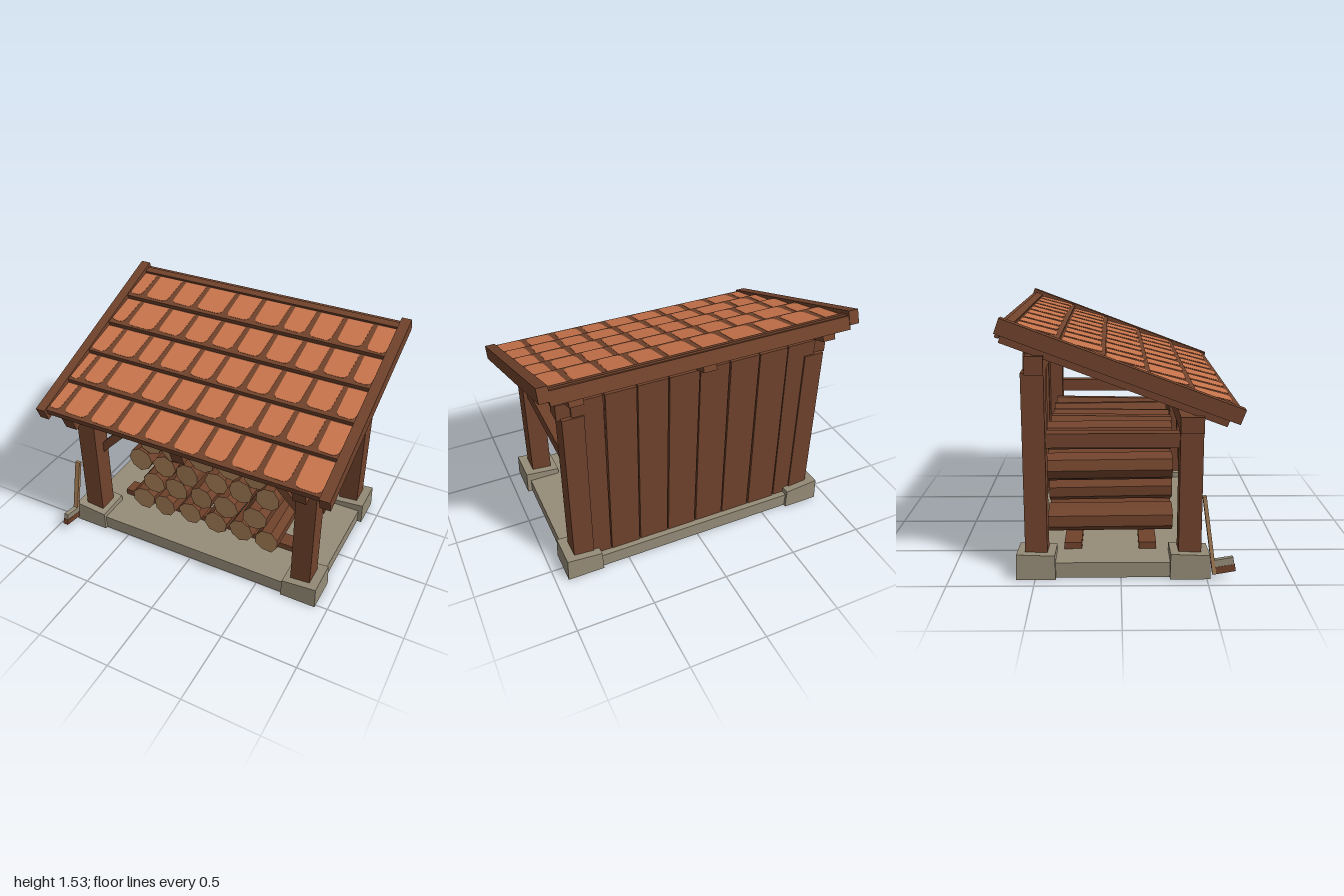
import * as THREE from 'three';

const material = (name, color) => {
  const m = new THREE.MeshStandardMaterial({ color });
  m.name = name;
  return m;
};

export function createModel() {
  const wood = material('brown wood', 0x71432c);
  const tileMat = material('terracotta tile', 0xc8744b);
  const stone = material('grey stone', 0x968c78);
  const cutWood = material('pale cut wood', 0xa57d56);

  let seed = 7;
  const rand = () => (seed = (seed * 16807) % 2147483647) / 2147483647;
  const vary = (a) => (rand() - 0.5) * 2 * a;

  const model = new THREE.Group();
  model.name = 'woodShed';

  const add = (parent, name, geo, mat) => {
    const mesh = new THREE.Mesh(geo, mat);
    mesh.name = name;
    parent.add(mesh);
    return mesh;
  };
  // Box given by its limits on each axis
  const box = (parent, name, mat, x0, x1, y0, y1, z0, z1) => {
    const mesh = add(parent, name, new THREE.BoxGeometry(x1 - x0, y1 - y0, z1 - z0), mat);
    mesh.position.set((x0 + x1) / 2, (y0 + y1) / 2, (z0 + z1) / 2);
    return mesh;
  };
  // Square bar between two points
  const bar = (parent, name, mat, a, b, w, d) => {
    const p = new THREE.Vector3(...a), q = new THREE.Vector3(...b);
    const dir = q.clone().sub(p);
    const mesh = add(parent, name, new THREE.BoxGeometry(w, dir.length(), d), mat);
    mesh.position.copy(p).add(q).multiplyScalar(0.5);
    mesh.quaternion.setFromUnitVectors(new THREE.Vector3(0, 1, 0), dir.normalize());
    return mesh;
  };

  // Base slab and rough corner stones
  box(model, 'baseSlab', stone, -0.89, 0.89, 0, 0.093, -0.59, 0.5);
  const cornerStone = (sx, z0, z1) => {
    const g = new THREE.BoxGeometry(0.24, 0.14, z1 - z0).toNonIndexed();
    const p = g.attributes.position;
    for (let i = 0; i < p.count; i++) {
      if (p.getY(i) < 0) continue;
      const outer = Math.sign(p.getX(i)) === sx;
      p.setY(i, p.getY(i) + (outer ? 0.01 : -0.012) + (p.getZ(i) > 0 ? -0.004 : 0.004));
      p.setX(i, p.getX(i) * 0.96);
      p.setZ(i, p.getZ(i) * 0.97);
    }
    g.computeVertexNormals();
    add(model, 'cornerStone', g, stone).position.set(sx * 0.8, 0.07, (z0 + z1) / 2);
  };

  // Posts, side rails and braces on both sides
  for (const s of [-1, 1]) {
    cornerStone(s, 0.285, 0.52);
    cornerStone(s, -0.61, -0.38);
    const x0 = s * 0.79 - 0.066, x1 = s * 0.79 + 0.066;
    box(model, 'frontPost', wood, x0, x1, 0.1, 0.87, 0.337, 0.47);
    box(model, 'backPost', wood, x0, x1, 0.1, 1.21, -0.56, -0.43);
    box(model, 'sideRail', wood, s * 0.79 - 0.04, s * 0.79 + 0.04, 0.77, 0.855, -0.45, 0.35);
    bar(model, 'brace', wood, [s * 0.75, 0.597, 0.365], [s * 0.475, 0.88, 0.365], 0.055, 0.05);
  }
  box(model, 'frontBeam', wood, -0.88, 0.88, 0.865, 0.96, 0.335, 0.47);
  box(model, 'backBeam', wood, -0.88, 0.88, 1.2, 1.305, -0.535, -0.43);

  // Back wall planks, nailed over the back beam with narrow uneven gaps
  for (let i = 0; i < 8; i++) {
    const x = -0.7 + i * 0.2;
    const plank = box(model, 'wallPlank', wood, x - 0.0955, x + 0.0955, 0.09, 1.31, -0.552, -0.522);
    plank.rotation.z = vary(0.005);
    plank.position.z += vary(0.003);
  }

  // Runners under the stack
  box(model, 'runner', wood, -0.69, 0.68, 0.093, 0.135, 0.11, 0.215);
  box(model, 'runner', wood, -0.69, 0.68, 0.093, 0.135, -0.34, -0.235);

  // Stacked logs, staggered row by row
  const logGeometry = (length) => {
    const sides = 8;
    const radii = Array.from({ length: sides }, () => 0.087 + vary(0.007));
    const g = new THREE.CylinderGeometry(1, 1, length, sides).toNonIndexed();
    const p = g.attributes.position;
    for (let i = 0; i < p.count; i++) {
      const x = p.getX(i), z = p.getZ(i);
      if (Math.hypot(x, z) < 0.5) continue;
      const k = (Math.round((Math.atan2(z, x) / (2 * Math.PI)) * sides) + sides) % sides;
      p.setX(i, x * radii[k]);
      p.setZ(i, z * radii[k]);
    }
    g.rotateX(Math.PI / 2);
    g.computeVertexNormals();
    return g;
  };
  const offset = [-0.39, -0.2, 0, 0.195, 0.395];
  const wide = [-0.48, -0.29, -0.095, 0.1, 0.295, 0.48];
  [[0.22, wide], [0.39, offset], [0.555, wide], [0.725, offset]].forEach(([y, xs]) => {
    for (const x of xs) {
      const log = add(model, 'log', logGeometry(0.77), [wood, cutWood, cutWood]);
      log.position.set(x + vary(0.006), y + vary(0.004), -0.065 + vary(0.01));
      log.rotation.set(vary(0.012), vary(0.035), vary(0.5));
    }
  });

  // Sloped roof frame: local -z runs uphill, y = 0 is the top of the barge boards
  const roof = new THREE.Group();
  roof.name = 'roofFrame';
  roof.position.set(0, 1.03, 0.68);
  roof.rotation.x = Math.atan2(0.5, 1.325);
  model.add(roof);
  for (const s of [-1, 1]) {
    box(roof, 'bargeBoard', wood, s * 0.967 - 0.033, s * 0.967 + 0.033, -0.088, 0, -1.416, 0);
  }
  for (const x of [-0.797, 0, 0.797]) {
    box(roof, 'rafter', wood, x - 0.042, x + 0.042, -0.155, -0.06, -1.392, -0.025);
  }
  box(roof, 'ridgeBoard', wood, -0.94, 0.94, -0.085, -0.02, -1.39, -1.345);
  box(roof, 'backFascia', wood, -0.94, 0.94, -0.115, -0.03, -1.412, -1.388);

  // Overlapping tile courses, listed by the gaps between tiles, bottom row first
  const gaps = [
    [-0.835, -0.63, -0.43, -0.24, -0.03, 0.17, 0.35, 0.55, 0.75],
    [-0.85, -0.68, -0.415, -0.22, -0.025, 0.18, 0.395, 0.58, 0.78],
    [-0.795, -0.585, -0.42, -0.195, -0.01, 0.2, 0.385, 0.595, 0.79],
    [-0.81, -0.577, -0.375, -0.175, 0.01, 0.21, 0.415, 0.6, 0.795],
    [-0.82, -0.612, -0.418, -0.19, 0.012, 0.22, 0.405, 0.59, 0.79],
  ];
  const tile = (a, b) => {
    const s = new THREE.Shape();
    const y = 0.014 + rand() * 0.016, r = Math.min(0.04, (b - a) * 0.35);
    s.moveTo(a, 0.255);
    s.lineTo(a + 0.004, y + r);
    s.quadraticCurveTo(a + 0.006, y + 0.004, a + r, y + 0.002);
    s.lineTo(b - r, y);
    s.quadraticCurveTo(b - 0.006, y + 0.004, b - 0.004, y + r);
    s.lineTo(b, 0.255);
    const g = new THREE.ExtrudeGeometry(s, { depth: 0.002, bevelEnabled: false, curveSegments: 5 });
    return g.rotateX(-Math.PI / 2);
  };
  gaps.forEach((row, i) => {
    const course = new THREE.Group();
    course.name = 'tileCourse';
    course.position.set(0, 1.03 + i * 0.0938, 0.66 - i * 0.249);
    course.rotation.x = Math.atan2(0.066, 0.25);
    model.add(course);
    box(course, 'courseBoard', wood, -0.935, 0.935, -0.04, 0, -0.28, 0);
    const edges = [-0.95, ...row, 0.95];
    for (let k = 0; k < edges.length - 1; k++) {
      add(course, 'roofTile', tile(edges[k] + 0.016, edges[k + 1] - 0.016), tileMat);
    }
  });

  // Axe leaning by the front corner
  const axe = new THREE.Group();
  axe.name = 'axe';
  model.add(axe);
  bar(axe, 'axeHandle', cutWood, [-0.922, 0.04, 0.54], [-0.887, 0.5, 0.477], 0.034, 0.022);
  const head = new THREE.Group();
  head.name = 'axeHead';
  head.position.set(-0.917, 0.088, 0.59);
  head.rotation.set(-0.17, 0, -0.07);
  axe.add(head);
  box(head, 'axeHeadTop', stone, -0.016, 0.016, 0, 0.042, -0.066, 0.066);
  box(head, 'axeHeadBottom', wood, -0.018, 0.018, -0.042, 0, -0.068, 0.068);

  return model;
}
